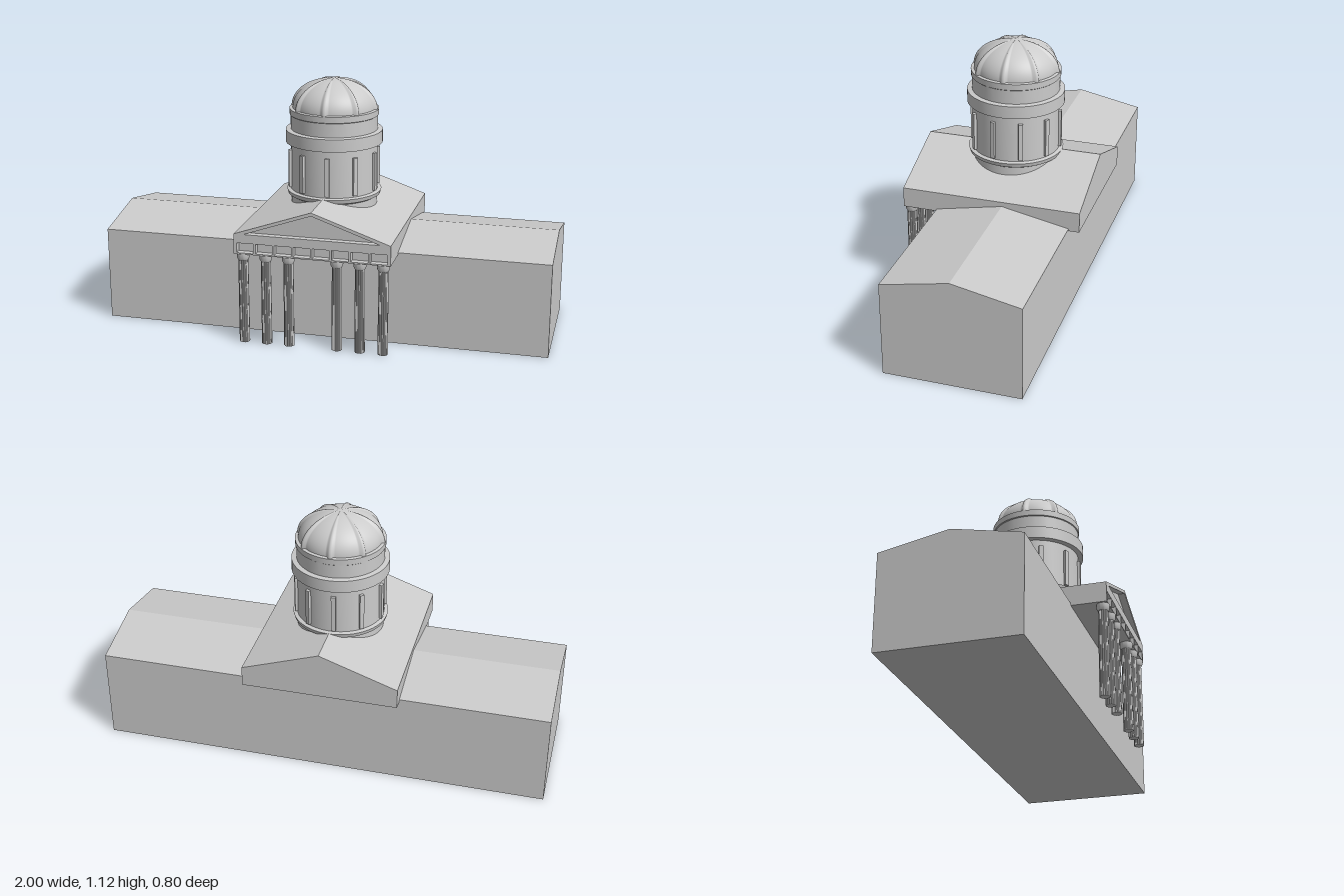
import * as THREE from 'three';
import { toCreasedNormals } from 'three/addons/utils/BufferGeometryUtils.js';

const mat = new THREE.MeshStandardMaterial({ color: 0xcccccc });
const v = (x, y) => new THREE.Vector2(x, y);
const CX = -0.005; // axis of portico and dome
const CZ = -0.012;

function add(parent, name, geometry, x = 0, y = 0, z = 0) {
  const mesh = new THREE.Mesh(geometry, mat);
  mesh.name = name;
  mesh.position.set(x, y, z);
  parent.add(mesh);
  return mesh;
}

function extrude(shape, depth) {
  return new THREE.ExtrudeGeometry(shape, { depth, bevelEnabled: false });
}

// Ellipsoid half dome with raised ribs and slightly hollow panels between them
function ribbedDome(radius, height, ribs) {
  const geo = new THREE.SphereGeometry(1, 160, 24, 0, Math.PI * 2, 0, Math.PI / 2);
  const p = geo.attributes.position;
  for (let i = 0; i < p.count; i++) {
    const x = p.getX(i), y = p.getY(i), z = p.getZ(i);
    const t = Math.abs(Math.sin(Math.atan2(x, z) * ribs / 2)); // 0 on a rib
    const sink = 0.055 * THREE.MathUtils.smoothstep(t, 0.12, 0.3);
    const r = radius * (1 - sink);
    p.setXYZ(i, x * r, y * height * (1 - sink * y * Math.hypot(x, z)), z * r);
  }
  geo.computeVertexNormals();
  return geo;
}

// Column shaft with flutes
function flutedShaft(radius, height) {
  const geo = new THREE.CylinderGeometry(radius * 0.95, radius, height, 32, 1);
  const p = geo.attributes.position;
  for (let i = 0; i < p.count; i++) {
    const a = Math.atan2(p.getX(i), p.getZ(i));
    const k = Math.round(a / (Math.PI * 2) * 32) & 1 ? 0.88 : 1;
    p.setXYZ(i, p.getX(i) * k, p.getY(i), p.getZ(i) * k);
  }
  return toCreasedNormals(geo, 0.3);
}

export function createModel() {
  const model = new THREE.Group();
  model.name = 'domedBuilding';

  // Long hall with a low gabled roof
  const hall = new THREE.Shape([v(-0.353, 0), v(0.243, 0), v(0.243, 0.42), v(-0.055, 0.48), v(-0.353, 0.42)]);
  add(model, 'hall', extrude(hall, 2).rotateY(-Math.PI / 2), 1);

  // Crossing roof running front to back
  const portico = new THREE.Group();
  portico.name = 'portico';
  portico.position.x = CX;
  model.add(portico);
  const W = 0.345;
  const gable = () => new THREE.Shape([v(-W, 0.41), v(W, 0.41), v(W, 0.5), v(0, 0.62), v(-W, 0.5)]);
  add(portico, 'crossRoof', extrude(gable(), 0.767), 0, 0, -0.4);

  // Front frame: recessed pediment and a frieze of square recesses
  const face = gable();
  face.holes.push(new THREE.Path([v(-0.3, 0.5), v(0, 0.605), v(0.3, 0.5)]));
  const pitch = 0.084;
  for (let i = 0; i < 8; i++) {
    const x = (i - 3.5) * pitch, h = 0.037;
    face.holes.push(new THREE.Path([v(x - h, 0.416), v(x - h, 0.46), v(x + h, 0.46), v(x + h, 0.416)]));
  }
  add(portico, 'pedimentFrame', extrude(face, 0.03), 0, 0, 0.367);

  // Six columns in two groups of three
  const shaft = flutedShaft(0.023, 0.39);
  const capital = toCreasedNormals(new THREE.LatheGeometry(
    [v(0, 0.38), v(0.022, 0.38), v(0.027, 0.39), v(0.028, 0.41), v(0, 0.41)], 24), 0.5);
  for (const side of [-1, 1]) {
    for (const x of [0.107, 0.208, 0.31]) {
      const column = new THREE.Group();
      column.name = 'column';
      column.position.set(side * x, 0, 0.373);
      portico.add(column);
      add(column, 'shaft', shaft, 0, 0.195, 0);
      add(column, 'capital', capital);
    }
  }

  // Round tower
  const tower = new THREE.Group();
  tower.name = 'tower';
  tower.position.set(CX, 0, CZ);
  model.add(tower);
  const profile = [
    [0, 0.48], [0.192, 0.48], [0.192, 0.592], [0.206, 0.6], [0.211, 0.618], [0.204, 0.62], [0.194, 0.622],
    [0.192, 0.832], [0.215, 0.834], [0.215, 0.89], [0.193, 0.893], [0.193, 0.955],
    [0.197, 0.958], [0.198, 0.985], [0.18, 0.988], [0, 0.988],
  ].map(([r, y]) => v(r, y));
  add(tower, 'drum', toCreasedNormals(new THREE.LatheGeometry(profile, 72), 0.6));

  // Slim pilasters around the drum
  const pilaster = new THREE.BoxGeometry(0.02, 0.17, 0.03);
  for (let i = 0; i < 10; i++) {
    const a = THREE.MathUtils.degToRad(5 + i * 36);
    const mesh = add(tower, 'pilaster', pilaster, Math.sin(a) * 0.19, 0.715, Math.cos(a) * 0.19);
    mesh.rotation.y = a;
  }

  add(tower, 'dome', ribbedDome(0.195, 0.135, 8), 0, 0.983, 0);
  return model;
}
